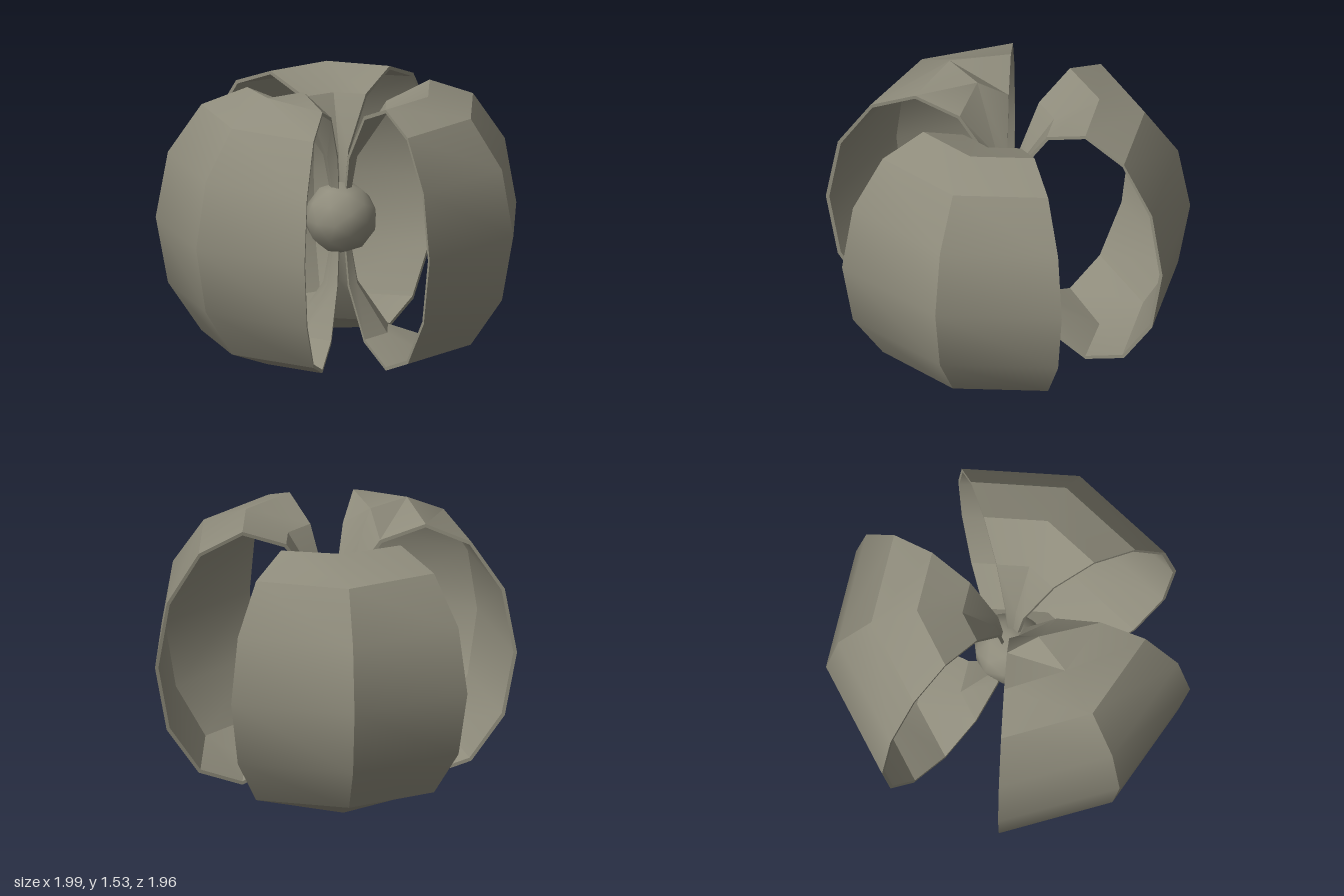
import * as THREE from 'three';
import { toCreasedNormals } from 'three/addons/utils/BufferGeometryUtils.js';

const CY = 0.765;            // height of the middle
const CENTRE_Z = 0.025;
const TUBE_STEPS = 12;
const THICK = 0.02;

// Point on a pinched torus: theta runs round the axis, step round the tube
function ringPoint(thetaDeg, step, inset, lift) {
  const t = THREE.MathUtils.degToRad(thetaDeg);
  const phi = (step / TUBE_STEPS) * Math.PI * 2;
  const r = 0.512 + (0.5 - inset) * Math.cos(phi);
  const y = CY + (0.74 - inset) * Math.sin(phi) + (lift[step] || 0);
  return new THREE.Vector3(r * Math.cos(t), y, r * Math.sin(t));
}

// Thin closed band made of two 40 degree facets
function shellGeometry(startDeg, ridgeLift) {
  const pos = [];
  const quad = (a, b, c, d) => {
    for (const p of [a, b, c, a, c, d]) pos.push(p.x, p.y, p.z);
  };
  const columns = (inset) => [0, 1, 2].map((col) =>
    Array.from({ length: TUBE_STEPS }, (_, s) =>
      ringPoint(startDeg + col * 40, s, inset, col === 1 ? ridgeLift : {})));
  const out = columns(0), inn = columns(THICK);

  for (let s = 0; s < TUBE_STEPS; s++) {
    const n = (s + 1) % TUBE_STEPS;
    for (let c = 0; c < 2; c++) {
      quad(out[c][s], out[c][n], out[c + 1][n], out[c + 1][s]);
      quad(inn[c][s], inn[c + 1][s], inn[c + 1][n], inn[c][n]);
    }
    // Rims of the two open edges
    quad(out[0][s], inn[0][s], inn[0][n], out[0][n]);
    quad(out[2][s], out[2][n], inn[2][n], inn[2][s]);
  }
  const g = new THREE.BufferGeometry();
  g.setAttribute('position', new THREE.Float32BufferAttribute(pos, 3));
  return toCreasedNormals(g, 0.5);
}

export function createModel() {
  const model = new THREE.Group();
  const stone = new THREE.MeshStandardMaterial({ color: 0x8f8c7c });
  stone.name = 'stone grey';
  stone.side = THREE.DoubleSide;

  // Three shells; the ridge of each is nudged at the top or bottom
  const shells = [
    ['frontShell', 30, {}],
    ['rightShell', 150, { 3: 0.03, 4: 0.12 }],
    ['backShell', 270, { 3: 0.01, 9: -0.025 }],
  ];
  for (const [name, start, lift] of shells) {
    const shell = new THREE.Mesh(shellGeometry(start, lift), stone);
    shell.name = name;
    shell.position.z = CENTRE_Z;
    model.add(shell);
  }

  // Ball at the core
  const core = new THREE.Mesh(new THREE.IcosahedronGeometry(0.2, 1), stone);
  core.name = 'coreBall';
  core.position.set(0, CY + 0.005, CENTRE_Z);
  model.add(core);

  return model;
}
